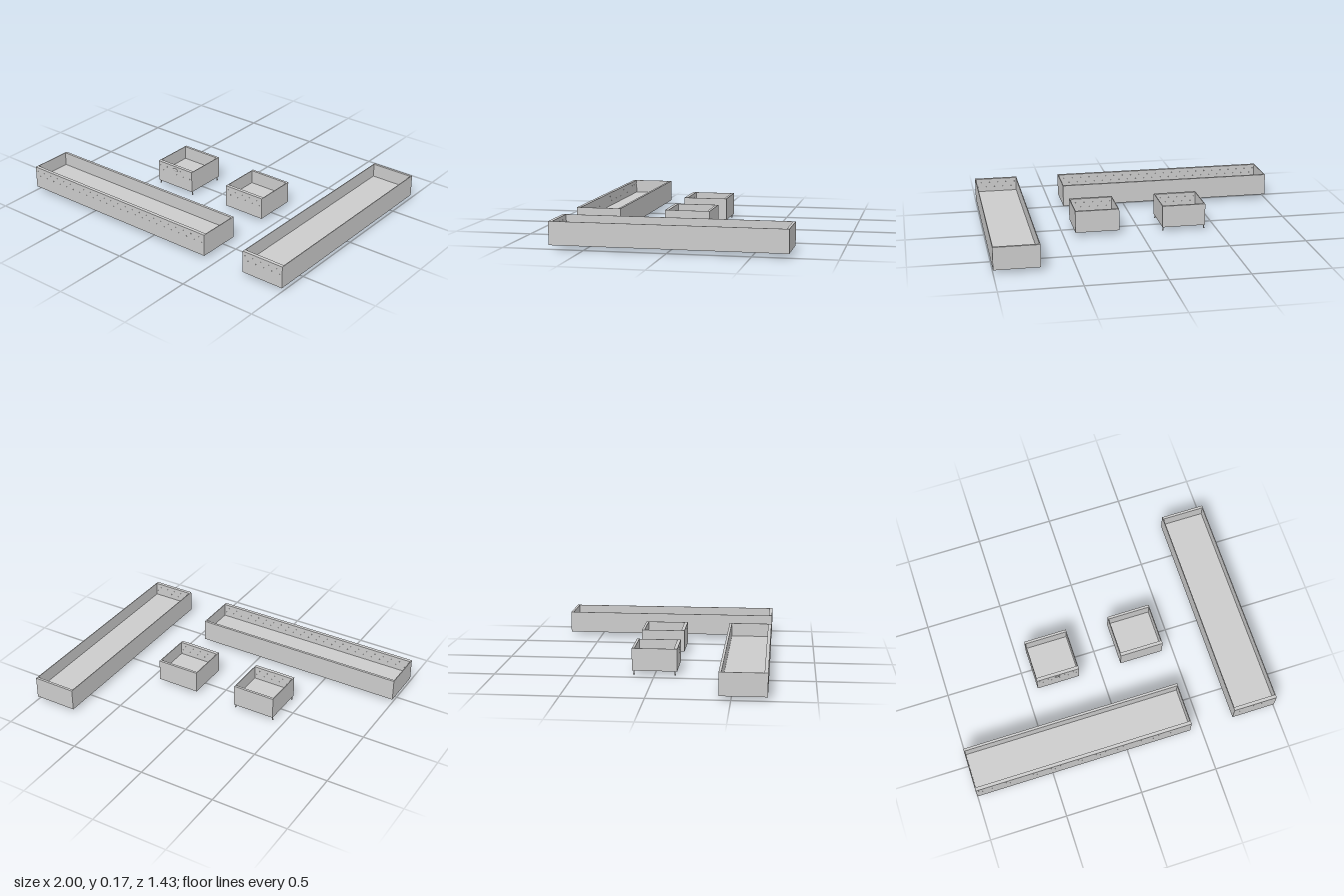
import * as THREE from 'three';

const mat = new THREE.MeshStandardMaterial({ color: 0xcccccc, flatShading: true });
const smooth = new THREE.MeshStandardMaterial({ color: 0xcccccc });
const BOTTOM = 0.025, HEIGHT = 0.143, FLOOR = 0.055;
const SIDE = 0.005, BACK = 0.016, FRONT = 0.022;

function add(group, name, geometry, x, y, z, material = mat) {
  const mesh = new THREE.Mesh(geometry, material);
  mesh.name = name;
  mesh.position.set(x, y, z);
  group.add(mesh);
  return mesh;
}

// Front board pierced by two staggered rows of small holes
function frontPanel(width) {
  const w = width / 2;
  const shape = new THREE.Shape();
  shape.moveTo(-w, 0).lineTo(w, 0).lineTo(w, HEIGHT).lineTo(-w, HEIGHT).closePath();
  const count = Math.round(width / 0.06);
  const pitch = width / count;
  for (let row = 0; row < 2; row++) {
    for (let i = 0; i < count; i++) {
      const x = -w + (i + 0.3 + row * 0.4) * pitch;
      const hole = new THREE.Path();
      hole.absarc(x, HEIGHT - 0.025 - row * 0.03, 0.0025, 0, Math.PI * 2, true);
      shape.holes.push(hole);
    }
  }
  return new THREE.ExtrudeGeometry(shape, { depth: FRONT, bevelEnabled: false, curveSegments: 4 });
}

// Open tray: raised floor, thin sides, thicker back and front
function tray(name, x0, x1, z0, z1) {
  const g = new THREE.Group();
  g.name = name;
  const w = x1 - x0, d = z1 - z0, mid = HEIGHT / 2;
  const inner = d - BACK - FRONT;
  const cz = (BACK - FRONT) / 2;
  add(g, 'floor', new THREE.BoxGeometry(w - 2 * SIDE, FLOOR, inner), 0, FLOOR / 2, cz);
  for (const s of [-1, 1]) {
    add(g, s > 0 ? 'leftSide' : 'rightSide', new THREE.BoxGeometry(SIDE, HEIGHT, inner),
      s * (w - SIDE) / 2, mid, cz);
  }
  add(g, 'backPanel', new THREE.BoxGeometry(w, HEIGHT, BACK), 0, mid, (BACK - d) / 2);
  add(g, 'frontPanel', frontPanel(w), 0, 0, d / 2 - FRONT);
  g.position.set((x0 + x1) / 2, BOTTOM, (z0 + z1) / 2);
  return g;
}

export function createModel() {
  const model = new THREE.Group();
  model.name = 'trays';
  model.add(tray('wideTray', -1, 0.425, 0.428, 0.713));
  model.add(tray('deepTray', 0.715, 1, -0.717, 0.713));
  model.add(tray('smallTray', 0.14, 0.425, -0.143, 0.141));

  const footed = tray('footedTray', -0.428, -0.145, -0.143, 0.141);
  model.add(footed);

  // Slim feet with a wider pad, one under each corner
  for (const sx of [-1, 1]) {
    for (const sz of [-1, 1]) {
      const foot = new THREE.Group();
      foot.name = 'foot';
      add(foot, 'stem', new THREE.CylinderGeometry(0.0035, 0.0035, 0.021, 12), 0, -0.0105, 0, smooth);
      add(foot, 'pad', new THREE.CylinderGeometry(0.005, 0.005, 0.006, 12), 0, -0.022, 0, smooth);
      foot.position.set(sx * 0.136, 0, sz * 0.129);
      footed.add(foot);
    }
  }

  // Shallow domed pull on the front
  const pull = add(footed, 'pull', new THREE.SphereGeometry(0.02, 20, 10), 0, 0.118, 0.142, smooth);
  pull.scale.set(1, 0.5, 0.25);
  return model;
}
